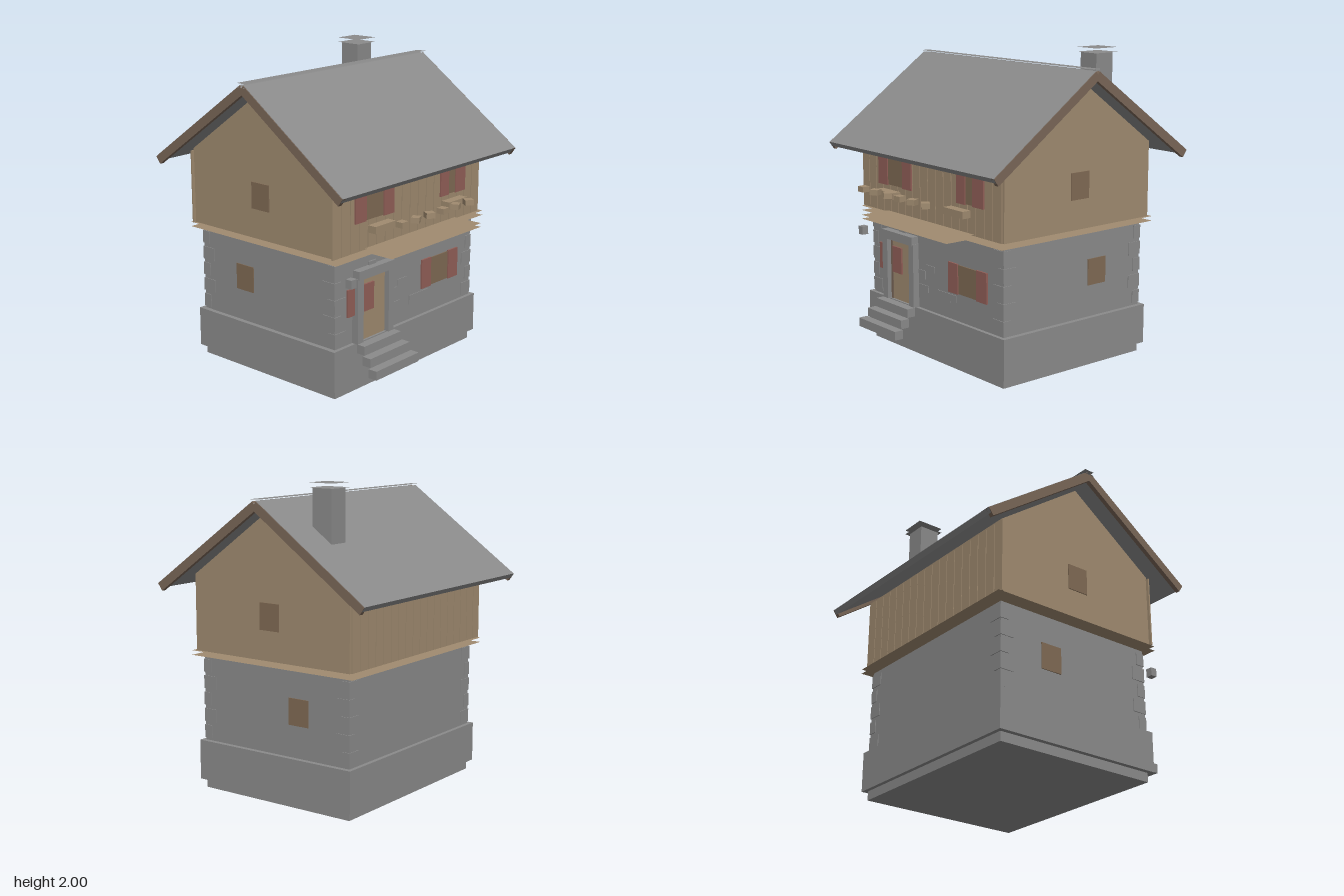
import * as THREE from 'three';

const mat = (name, color) => {
  const m = new THREE.MeshStandardMaterial({ color, side: THREE.DoubleSide });
  m.name = name;
  return m;
};

export function createModel() {
  const stone = mat('stone grey', 0x8b8b8b);
  const wood = mat('pale wood', 0xa08b70);
  const trim = mat('dark wood', 0x7a6758);
  const glass = mat('window brown', 0x806a54);
  const red = mat('shutter red', 0x925f58);
  const house = new THREE.Group();
  house.name = 'chalet';
  const CZ = -0.04; // middle of the house in z

  const add = (name, geo, m, parent = house) => {
    const mesh = new THREE.Mesh(geo, m);
    mesh.name = name;
    parent.add(mesh);
    return mesh;
  };
  // Box given by its limits on each axis
  const box = (name, m, x0, x1, y0, y1, z0, z1) => {
    const b = add(name, new THREE.BoxGeometry(x1 - x0, y1 - y0, z1 - z0), m);
    b.position.set((x0 + x1) / 2, (y0 + y1) / 2, (z0 + z1) / 2);
    return b;
  };
  // Pair of horizontal boards with open edges
  const sheets = (name, m, x0, x1, y0, y1, z0, z1) => {
    for (const [y, turn] of [[y0, 1], [y1, -1]]) {
      const s = add(name, new THREE.PlaneGeometry(x1 - x0, z1 - z0), m);
      s.rotation.x = turn * Math.PI / 2;
      s.position.set((x0 + x1) / 2, y, (z0 + z1) / 2);
    }
  };

  // Stone ground floor and plinth
  box('stoneWall', stone, -0.68, 0.68, 0, 0.875, -0.61, 0.53);
  box('plinth', stone, -0.712, 0.712, 0.06, 0.32, -0.637, 0.555);

  // Corner stones, long and short in turn
  for (const sx of [-1, 1]) for (const sz of [-1, 1]) for (let i = 0; i < 5; i++) {
    const lx = i % 2 ? 0.06 : 0.1, lz = i % 2 ? 0.1 : 0.06, y = 0.335 + i * 0.108;
    const x = sx * 0.685, z = CZ + sz * 0.575;
    box('cornerStone', stone, Math.min(x, x - sx * lx), Math.max(x, x - sx * lx), y, y + 0.085,
      Math.min(z, z - sz * lz), Math.max(z, z - sz * lz));
  }

  // Loose wall stones, almost flush
  for (const [x0, x1, y0, y1] of [[-0.17, -0.1, 0.52, 0.575], [-0.09, 0, 0.58, 0.62],
    [-0.165, -0.07, 0.435, 0.48], [0.03, 0.16, 0.42, 0.48], [0.16, 0.225, 0.435, 0.48]])
    box('wallStone', stone, x0, x1, y0, y1, 0.528, 0.535);

  // Floor boards between the storeys, and balcony floor
  sheets('floorBoard', wood, -0.735, 0.735, 0.878, 0.908, -0.67, 0.59);
  sheets('balconyFloor', wood, -0.45, 0.45, 0.895, 0.92, 0.57, 0.78);

  // Timber upper storey with gables
  const wall = new THREE.Shape();
  [[-0.6, 0.91], [0.6, 0.91], [0.6, 1.4], [0, 1.83], [-0.6, 1.4]]
    .forEach(([u, y], i) => (i ? wall.lineTo(u, y) : wall.moveTo(u, y)));
  const upper = add('timberWall',
    new THREE.ExtrudeGeometry(wall, { depth: 1.44, bevelEnabled: false }), wood);
  upper.rotation.y = Math.PI / 2;
  upper.position.set(-0.72, 0, CZ);

  // Upright planks on front and back
  for (let i = 0; i < 18; i++) {
    const x = -0.74 + i * 0.0805;
    box('plank', wood, x, x + 0.075, 0.91, 1.385, 0.558, 0.568);
    box('plank', wood, x, x + 0.075, 0.91, 1.385, -0.648, -0.638);
  }

  // Roof slopes and gable boards
  const ang = 0.615, sin = Math.sin(ang), cos = Math.cos(ang);
  for (const s of [1, -1]) {
    const slope = (name, m, x, width, thick, sink) => {
      const t = 0.497, n = thick / 2 + sink;
      const r = add(name, new THREE.BoxGeometry(width, thick, 0.958), m);
      r.rotation.x = s * ang;
      r.position.set(x, 1.905 - sin * t - cos * n, -0.045 + s * (cos * t - sin * n));
    };
    slope('roofSlope', stone, 0, 1.712, 0.036, 0);
    for (const e of [-1, 1]) slope('gableBoard', trim, e * 0.845, 0.03, 0.056, 0.002);
  }
  sheets('ridgeCap', stone, -0.865, 0.86, 1.88, 1.905, -0.08, -0.01);

  // Chimney
  box('chimney', stone, 0.46, 0.6, 1.5, 1.97, -0.42, -0.28);
  sheets('chimneyCap', stone, 0.445, 0.62, 1.97, 2, -0.445, -0.26);

  // Front windows: panes and shutters
  const pane = (x0, x1, y0, y1, z) => box('windowPane', glass, x0, x1, y0, y1, z, z + 0.008);
  const shutter = (x0, x1, y0, y1, z) => box('shutter', red, x0, x1, y0, y1, z, z + 0.012);
  pane(-0.44, -0.285, 1.095, 1.28, 0.566);
  pane(0.372, 0.44, 1.095, 1.28, 0.566);
  pane(0.25, 0.425, 0.5, 0.685, 0.53);
  for (const [x0, x1] of [[-0.545, -0.445], [-0.28, -0.185], [0.286, 0.37], [0.44, 0.545]])
    shutter(x0, x1, 1.09, 1.28, 0.566);
  for (const [x0, x1] of [[0.15, 0.245], [0.43, 0.53]]) shutter(x0, x1, 0.495, 0.69, 0.53);
  for (const [x0, x1] of [[-0.585, -0.485], [-0.44, -0.34]]) shutter(x0, x1, 0.505, 0.68, 0.54);

  // Side windows on both gables
  for (const s of [-1, 1]) {
    box('sideWindow', glass, s * 0.682 - 0.004, s * 0.682 + 0.004, 0.525, 0.695, -0.305, -0.155);
    box('sideWindow', glass, s * 0.722 - 0.004, s * 0.722 + 0.004, 1.1, 1.27, -0.115, 0.033);
  }

  // Door with stone surround
  box('door', wood, -0.465, -0.225, 0.32, 0.73, 0.53, 0.54);
  box('doorEdge', trim, -0.465, -0.445, 0.32, 0.73, 0.54, 0.545);
  box('doorJamb', stone, -0.52, -0.465, 0.32, 0.74, 0.53, 0.575);
  box('doorJamb', stone, -0.225, -0.175, 0.32, 0.74, 0.53, 0.575);
  box('doorLintel', stone, -0.515, -0.18, 0.73, 0.787, 0.53, 0.583);
  box('keystone', stone, -0.375, -0.305, 0.78, 0.81, 0.53, 0.54);

  // Front steps
  for (let i = 0; i < 3; i++)
    box('step', stone, -0.55 + i * 0.015, -0.14 - i * 0.015, 0.143 + i * 0.06, 0.201 + i * 0.06,
      0.688 - i * 0.06, 0.75 - i * 0.06);

  // Lantern, window boxes and balcony pots
  box('lantern', stone, -0.675, -0.63, 0.735, 0.79, 0.612, 0.657);
  box('windowBox', wood, -0.46, -0.27, 1.028, 1.073, 0.6, 0.662);
  box('windowBox', wood, 0.265, 0.455, 1.028, 1.073, 0.6, 0.662);
  const turns = [0, 0.45, -0.55, 0.05, 0.4, -0.6];
  turns.forEach((turn, i) => {
    const x = -0.385 + i * 0.132;
    box('balconyPot', wood, x - 0.028, x + 0.028, 1.085, 1.12, 0.775, 0.827).rotation.y = turn;
  });

  return house;
}
